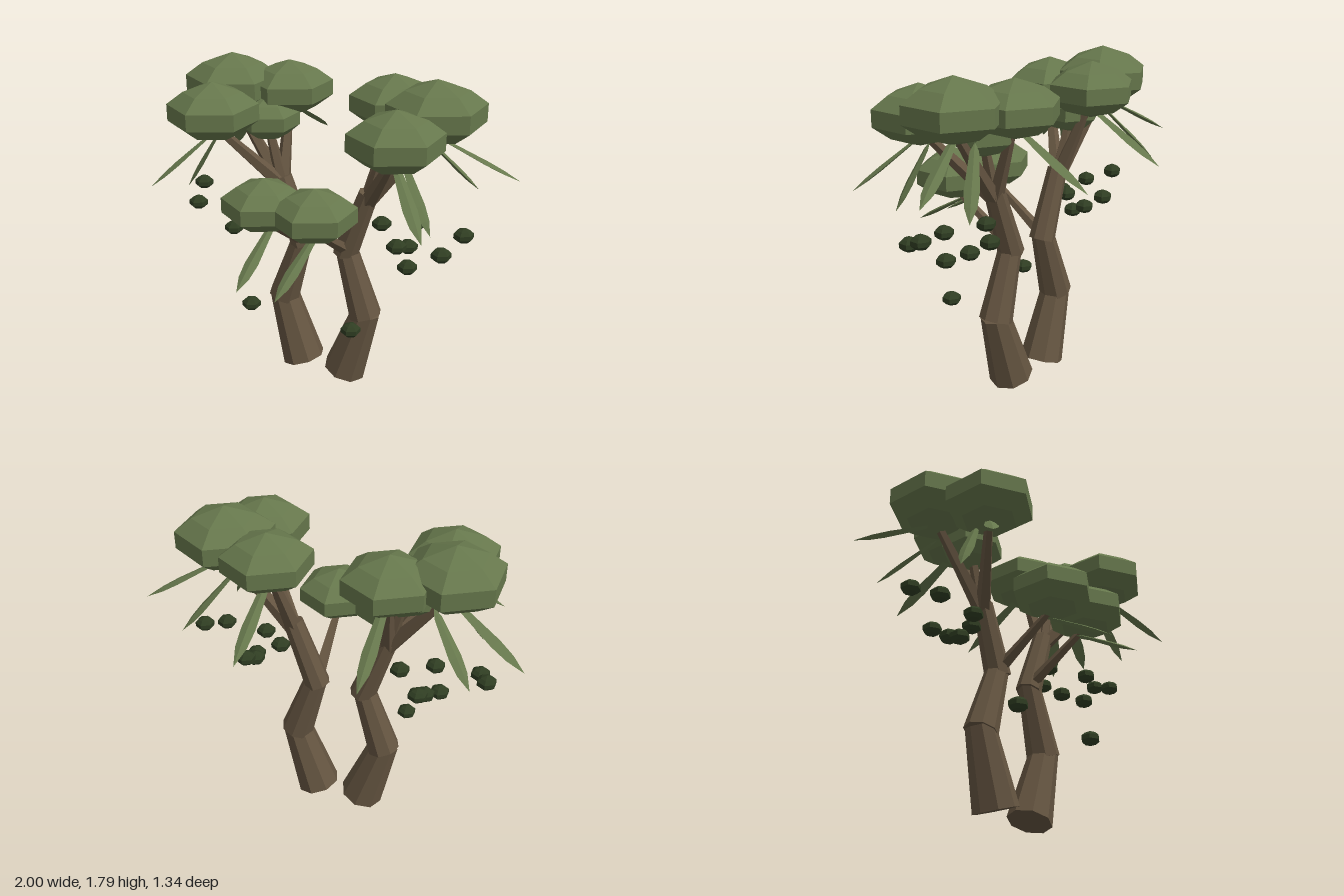
import * as THREE from 'three';

const mat = (color) => new THREE.MeshStandardMaterial({ color, flatShading: true });
const V = (p, side = 1) => new THREE.Vector3(p[0] * side, p[1], p[2]);
const lathe = (pts, sides) =>
  new THREE.LatheGeometry(pts.map(([r, y]) => new THREE.Vector2(r, y)), sides);

// [start, end, start radius, end radius]
const TRUNK = [
  [[0.135, 0.04, -0.05], [0.265, 0.45, -0.05], 0.122, 0.08],
  [[0.26, 0.42, -0.05], [0.135, 0.81, -0.05], 0.092, 0.062],
  [[0.13, 0.77, -0.05], [0.265, 1.15, -0.05], 0.072, 0.055],
];
const BRANCHES = [
  [[0.26, 1.1, -0.05], [0.6, 1.53, -0.1], 0.045, 0.022],
  [[0.26, 1.1, -0.05], [0.31, 1.53, -0.22], 0.045, 0.022],
  [[0.26, 1.1, -0.05], [0.51, 1.46, 0.2], 0.045, 0.022],
  [[0.26, 1.1, -0.05], [0.35, 1.42, -0.06], 0.04, 0.022],
  [[0.135, 0.81, -0.03], [0.145, 1.05, 0.33], 0.035, 0.018],
];
// [centre, radius, half height]
const CANOPIES = [
  [[0.597, 1.625, -0.1], 0.255, 0.165],
  [[0.313, 1.605, -0.23], 0.235, 0.15],
  [[0.52, 1.55, 0.21], 0.24, 0.158],
  [[0.35, 1.47, -0.06], 0.17, 0.125],
  [[0.147, 1.145, 0.33], 0.218, 0.142],
];
// [base, tip]
const LEAVES = [
  [[0.6, 1.5, -0.11], [1.0, 1.275, -0.27]],
  [[0.52, 1.47, -0.16], [0.765, 1.16, -0.345]],
  [[0.51, 1.45, 0.2], [0.77, 1.165, 0.45]],
  [[0.53, 1.43, 0.13], [0.715, 1.095, 0.2]],
  [[0.305, 1.52, -0.22], [0.31, 1.26, -0.67]],
  [[0.13, 1.02, 0.27], [0.11, 0.8, 0.665]],
];
const BERRIES = [
  [0.795, 1.02, -0.055], [0.735, 0.957, 0.09], [0.478, 0.966, -0.21], [0.492, 0.95, 0.09],
  [0.485, 0.88, -0.08], [0.338, 0.989, -0.06], [0.535, 0.822, 0.04], [0.308, 0.483, 0.23],
];

export function createModel() {
  const model = new THREE.Group();
  model.name = 'twinTrees';
  const bark = mat(0x655541);
  const foliage = mat(0x66774c);
  const darkGreen = mat(0x2f3d22);

  // Unit shapes, scaled to each part
  const puff = lathe([[0, -1], [0.62, -0.72], [1, -0.3], [1, 0.26], [0.64, 0.66], [0, 1]], 6);
  const blade = lathe([[0, 0], [0.6, 0.12], [1, 0.6], [0.8, 0.8], [0, 1]], 4);

  const limb = (name, [a, b, r0, r1], side, sides) => {
    const start = V(a, side), end = V(b, side);
    const dir = end.clone().sub(start);
    const mesh = new THREE.Mesh(new THREE.CylinderGeometry(r1, r0, dir.length(), sides), bark);
    mesh.name = name;
    mesh.position.copy(start).add(end).multiplyScalar(0.5);
    mesh.quaternion.setFromUnitVectors(new THREE.Vector3(0, 1, 0), dir.normalize());
    return mesh;
  };

  const blob = (name, p, r, h, side, material) => {
    const mesh = new THREE.Mesh(puff, material);
    mesh.name = name;
    mesh.position.copy(V(p, side));
    mesh.scale.set(r, h, r);
    return mesh;
  };

  // Thin pointed leaf, its flat side facing up
  const leaf = ([a, b], side) => {
    const start = V(a, side);
    const dir = V(b, side).sub(start);
    const length = dir.length();
    dir.normalize();
    const across = new THREE.Vector3(dir.z, 0, -dir.x).normalize();
    const normal = across.clone().cross(dir);
    const mesh = new THREE.Mesh(blade, foliage);
    mesh.name = 'leaf';
    mesh.position.copy(start);
    mesh.quaternion.setFromRotationMatrix(new THREE.Matrix4().makeBasis(across, dir, normal));
    mesh.scale.set(0.038, length, 0.012);
    return mesh;
  };

  // Two mirrored trees
  for (const side of [1, -1]) {
    const tree = new THREE.Group();
    tree.name = side > 0 ? 'leftTree' : 'rightTree';
    TRUNK.forEach((t) => tree.add(limb('trunk', t, side, 8)));
    BRANCHES.forEach((b) => tree.add(limb('branch', b, side, 5)));
    CANOPIES.forEach(([p, r, h]) => tree.add(blob('canopy', p, r, h, side, foliage)));
    LEAVES.forEach((l) => tree.add(leaf(l, side)));
    BERRIES.forEach((p) => tree.add(blob('berry', p, 0.052, 0.043, side, darkGreen)));
    model.add(tree);
  }
  return model;
}
